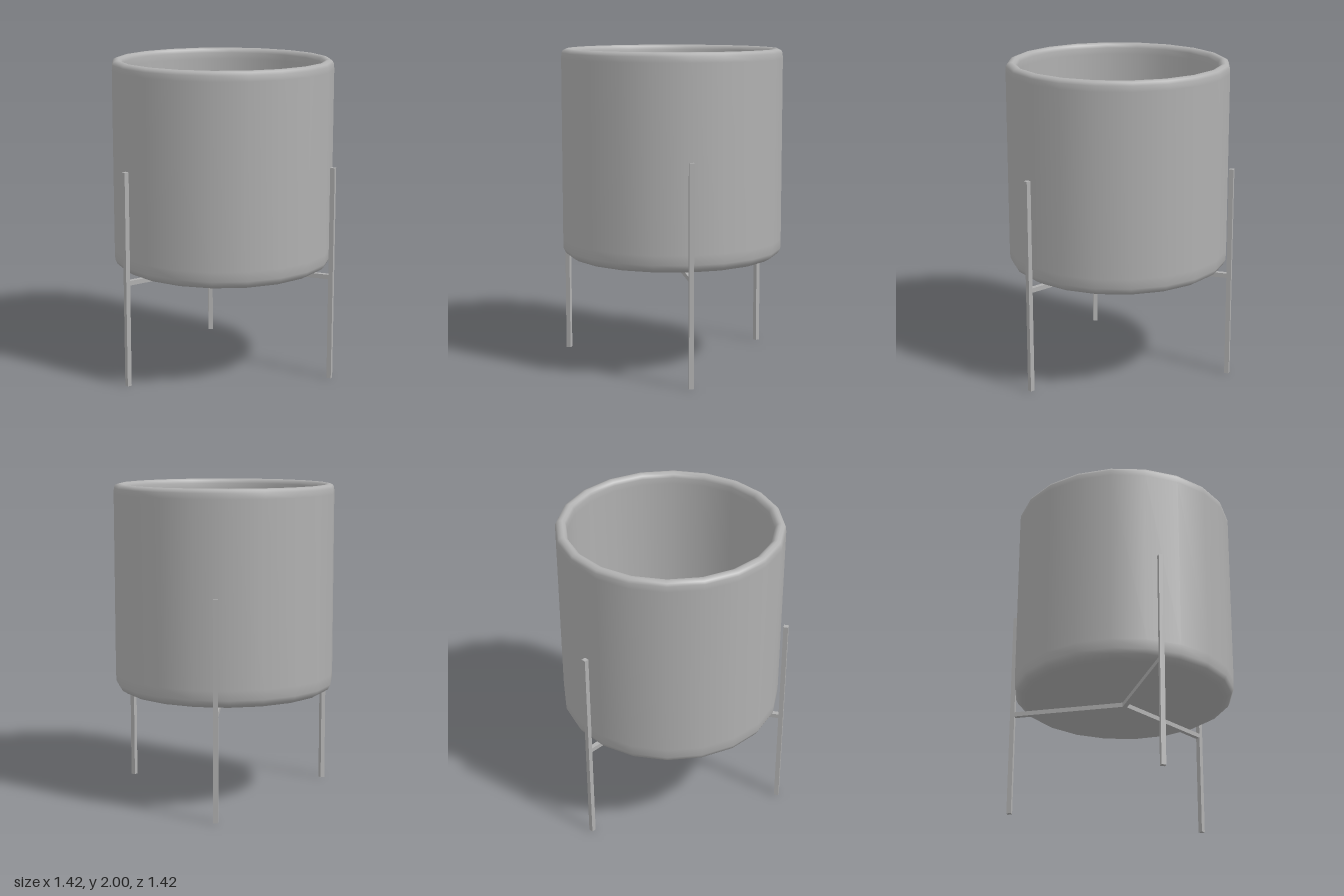
import * as THREE from 'three';

export function createModel() {
  const model = new THREE.Group();
  const grey = new THREE.MeshStandardMaterial({ color: 0xb0b0b0 });
  grey.name = 'grey';

  // Pot: underside, rounded foot, straight wall, rounded rim, hollow inside with a floor
  const profile = [
    [0, 0.685], [0.6, 0.685], [0.65, 0.69], [0.682, 0.71], [0.697, 0.74],
    [0.699, 0.8], [0.699, 1.94], [0.697, 1.975], [0.688, 1.992], [0.67, 2],
    [0.655, 2], [0.638, 1.99], [0.63, 1.97], [0.63, 1.93],
    [0.63, 0.8], [0.625, 0.765], [0.6, 0.75], [0, 0.75],
  ].map(([r, y]) => new THREE.Vector2(r, y));
  const sides = 20;
  const pot = new THREE.Mesh(new THREE.LatheGeometry(profile, sides), grey);
  pot.name = 'pot';
  pot.rotation.y = Math.PI / sides;
  pot.position.set(0.017, 0, 0.017);
  model.add(pot);

  // Stand: three square legs, each joined to the centre by a bar
  const stand = new THREE.Group();
  stand.name = 'stand';
  stand.position.set(0.02, 0, 0.02);
  const thick = 0.029, radius = 0.738, height = 1.36;
  const legShape = new THREE.BoxGeometry(thick, height, thick);
  const barShape = new THREE.BoxGeometry(radius, thick, thick);
  for (let i = 0; i < 3; i++) {
    const arm = new THREE.Group();
    arm.name = 'standArm';
    arm.rotation.y = -Math.PI / 4 + (i * 2 * Math.PI) / 3;
    const leg = new THREE.Mesh(legShape, grey);
    leg.name = 'leg';
    leg.position.set(radius, height / 2, 0);
    const bar = new THREE.Mesh(barShape, grey);
    bar.name = 'crossBar';
    bar.position.set(radius / 2, 0.665, 0);
    arm.add(leg, bar);
    stand.add(arm);
  }
  model.add(stand);
  return model;
}
